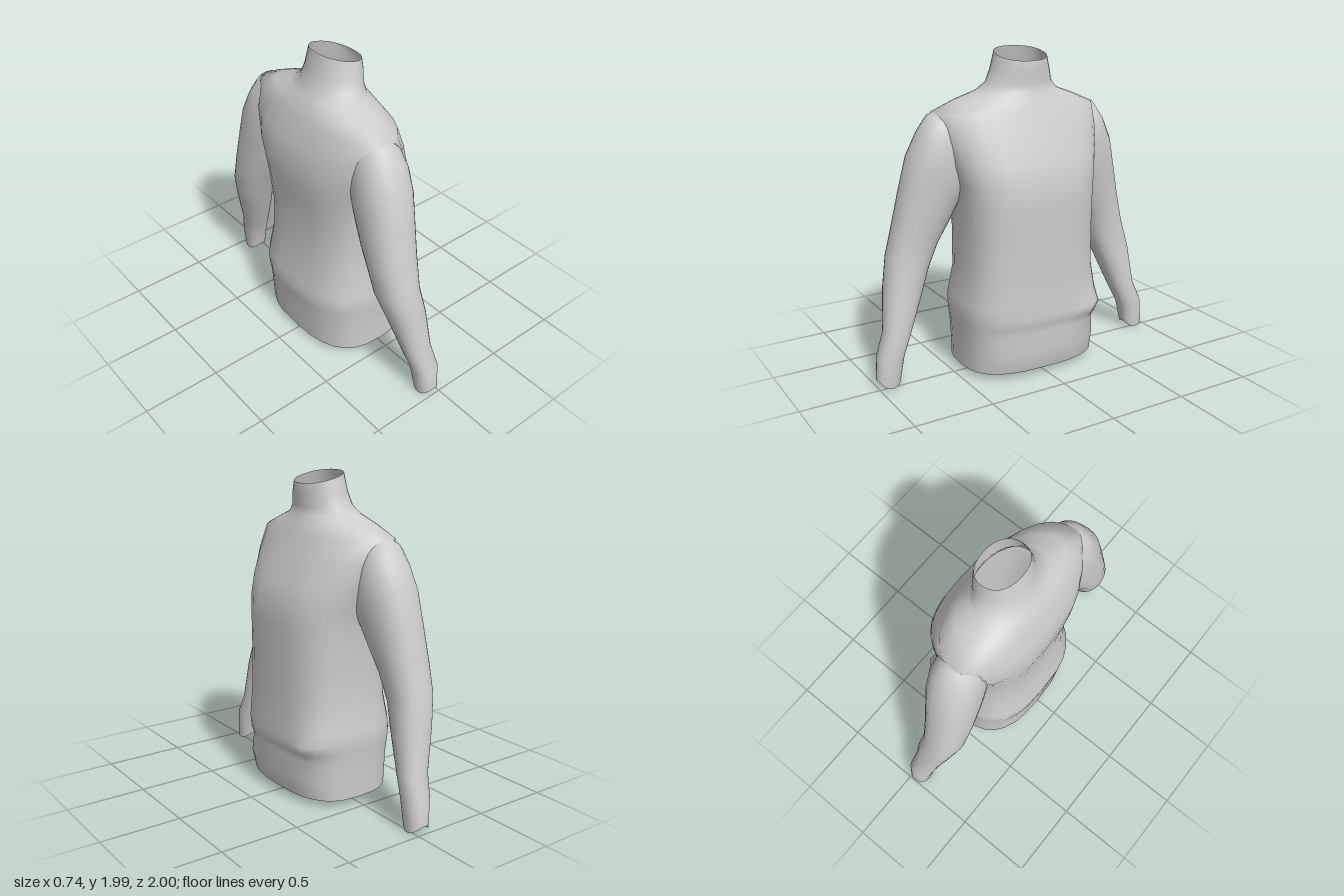
import * as THREE from 'three';

const SEG = 28;

// Signed power, squares off a circle into a superellipse
const spow = (v, p) => Math.sign(v) * Math.pow(Math.abs(v), p);

// Open tube through closed rings listed from bottom to top
function loft(rings) {
  const pos = [], idx = [];
  rings.forEach((ring) => ring.forEach((p) => pos.push(p.x, p.y, p.z)));
  for (let i = 0; i < rings.length - 1; i++) {
    for (let j = 0; j < SEG; j++) {
      const k = (j + 1) % SEG;
      const a = i * SEG + j, b = i * SEG + k, c = a + SEG, d = b + SEG;
      idx.push(a, c, b, b, c, d);
    }
  }
  const g = new THREE.BufferGeometry();
  g.setAttribute('position', new THREE.Float32BufferAttribute(pos, 3));
  g.setIndex(idx);
  g.computeVertexNormals();
  return g;
}

const makeRing = (fn) =>
  Array.from({ length: SEG }, (_, j) => fn((j / SEG) * Math.PI * 2));

// Body: height, back x, front x, x of widest point, half width, squareness power
const BODY = [
  [0.05, -0.355, 0.31, 0.0, 0.45, 0.72],
  [0.18, -0.365, 0.345, 0.0, 0.45, 0.72],
  [0.29, -0.37, 0.325, 0.0, 0.455, 0.72],
  [0.35, -0.38, 0.345, 0.0, 0.46, 0.72],
  [0.41, -0.385, 0.35, 0.0, 0.465, 0.72],
  [0.48, -0.375, 0.342, 0.0, 0.46, 0.7],
  [0.65, -0.345, 0.338, 0.0, 0.43, 0.7],
  [0.9, -0.33, 0.335, 0.0, 0.43, 0.7],
  [1.1, -0.35, 0.335, -0.02, 0.44, 0.7],
  [1.23, -0.365, 0.33, -0.04, 0.46, 0.72],
  [1.35, -0.37, 0.295, -0.07, 0.5, 0.76],
  [1.5, -0.35, 0.235, -0.1, 0.54, 0.82],
  [1.64, -0.3, 0.175, -0.12, 0.55, 0.9],
  [1.7, -0.275, 0.15, -0.11, 0.41, 0.95],
  [1.75, -0.245, 0.125, -0.08, 0.27, 1],
  [1.8, -0.215, 0.115, -0.04, 0.215, 1],
  [1.88, -0.185, 0.125, -0.03, 0.19, 1],
  [1.965, -0.155, 0.115, -0.02, 0.165, 0.9],
];

function bodyGeometry() {
  return loft(BODY.map(([y, xb, xf, cx, hw, p], i) => makeRing((t) => {
    const c = spow(Math.cos(t), p);
    let x = cx + c * (c > 0 ? xf - cx : cx - xb);
    const z = hw * spow(Math.sin(t), p);
    // Bunched fold at one side of the front hem
    if (c > 0) x += 0.06 * Math.exp(-(((z + 0.35) / 0.1) ** 2) - ((y - 0.4) / 0.06) ** 2);
    // Collar edge rises towards the back
    const tilt = i === BODY.length - 1 ? -0.25 * x : 0;
    return new THREE.Vector3(x, y + tilt, z);
  })));
}

// Sleeve: outer z, y, inner z, y, back x, front x
const SLEEVE = [
  [1.0, 0.06, 0.85, 0.05, -0.11, 0.02],
  [0.985, 0.2, 0.82, 0.19, -0.135, 0.03],
  [0.93, 0.34, 0.765, 0.31, -0.165, 0.015],
  [0.9, 0.6, 0.665, 0.55, -0.23, 0.0],
  [0.86, 0.79, 0.6, 0.7, -0.275, -0.02],
  [0.805, 1.0, 0.54, 0.85, -0.285, 0.0],
  [0.765, 1.18, 0.475, 0.96, -0.285, 0.02],
  [0.71, 1.4, 0.43, 1.05, -0.285, 0.045],
  [0.64, 1.54, 0.4, 1.12, -0.28, 0.06],
  [0.57, 1.635, 0.38, 1.18, -0.27, 0.05],
  [0.46, 1.665, 0.35, 1.22, -0.25, 0.02],
];

function sleeveGeometry(side) {
  return loft(SLEEVE.map(([zo, yo, zi, yi, xb, xf], i) => makeRing((t) => {
    const c = spow(Math.cos(t), 0.9);
    const u = spow(Math.sin(t), 0.9) * side;
    // Cuff edge dips at its front and back
    const dip = i === 0 ? 0.045 * c * c : 0;
    return new THREE.Vector3(
      (xb + xf) / 2 + (c * (xf - xb)) / 2,
      (yo + yi) / 2 + (u * (yo - yi)) / 2 - dip,
      side * ((zo + zi) / 2 + (u * (zo - zi)) / 2));
  })));
}

export function createModel() {
  const group = new THREE.Group();
  group.name = 'sweater';
  const knit = new THREE.MeshStandardMaterial({ color: 0xcccccc, side: THREE.DoubleSide });
  knit.name = 'light grey knit';

  const add = (name, geometry) => {
    const mesh = new THREE.Mesh(geometry, knit);
    mesh.name = name;
    group.add(mesh);
  };

  add('bodyAndCollar', bodyGeometry());
  add('sleeveNear', sleeveGeometry(1));
  add('sleeveFar', sleeveGeometry(-1));
  return group;
}
